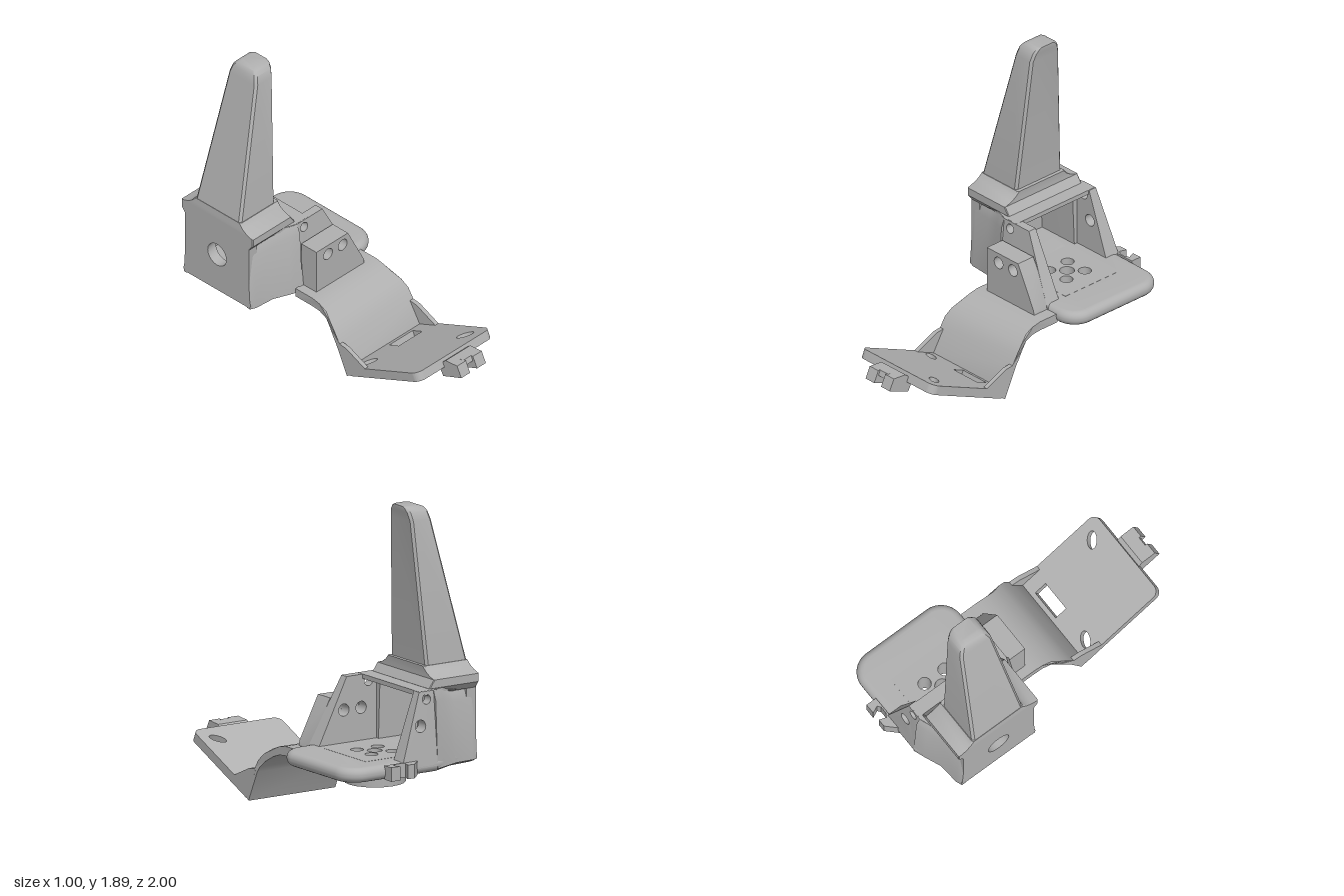
import * as THREE from 'three';
import { toCreasedNormals } from 'three/addons/utils/BufferGeometryUtils.js';

const grey = new THREE.MeshStandardMaterial({ color: 0xb0b0b0 });
grey.name = 'plain grey';
const MID = -0.57; // z of the housing's centre line

function add(parent, name, geo) {
  const mesh = new THREE.Mesh(toCreasedNormals(geo, 0.6), grey);
  mesh.name = name;
  parent.add(mesh);
  return mesh;
}

function shape(points, holes = []) {
  const s = new THREE.Shape(points.map(p => new THREE.Vector2(...p)));
  for (const [x, y, rx, ry = rx, turn = 0] of holes) {
    s.holes.push(new THREE.Path().absellipse(x, y, rx, ry, 0, Math.PI * 2, true, turn));
  }
  return s;
}
const extrude = (s, depth) => new THREE.ExtrudeGeometry(s, { depth, bevelEnabled: false, curveSegments: 10 });
// outline in (x, z), thickness between two heights
const slab = (s, y0, y1) => extrude(s, y1 - y0).rotateX(Math.PI / 2).translate(0, y1, 0);
// outline in (z, y), thickness between two x values
const sideways = (s, x0, x1) => extrude(s, x1 - x0).rotateY(-Math.PI / 2).translate(x1, 0, 0);

// Skin over convex rings of equal size, with closed ends
function loft(rings) {
  const n = rings[0].length, pos = rings.flat(2), idx = [];
  for (let r = 0; r < rings.length - 1; r++) for (let i = 0; i < n; i++) {
    const a = r * n + i, b = r * n + (i + 1) % n;
    idx.push(a, b, b + n, a, b + n, a + n);
  }
  const e = (rings.length - 1) * n;
  for (let i = 1; i < n - 1; i++) idx.push(0, i + 1, i, e, e + i, e + i + 1);
  // turn the faces outward
  const v = i => new THREE.Vector3().fromArray(pos, i * 3);
  let volume = 0;
  for (let i = 0; i < idx.length; i += 3) volume += v(idx[i]).dot(v(idx[i + 1]).cross(v(idx[i + 2])));
  if (volume < 0) idx.reverse();
  const g = new THREE.BufferGeometry();
  g.setAttribute('position', new THREE.Float32BufferAttribute(pos, 3));
  g.setIndex(idx);
  return g;
}

// Horizontal rectangle with cut corners
const ring = ([y, x0, x1, h, c]) => [
  [x0 + c, y, -h], [x1 - c, y, -h], [x1, y, -h + c], [x1, y, h - c],
  [x1 - c, y, h], [x0 + c, y, h], [x0, y, h - c], [x0, y, -h + c]];

function buildHousing() {
  const g = new THREE.Group();
  g.name = 'housing';
  g.position.z = MID;

  // Base plate: round-edged rim and a drilled centre
  const b = 0.043, h = 0.37 - b, end = 0.5 - b, r = 0.1;
  const rim = new THREE.Shape();
  rim.moveTo(-end, -0.24);
  rim.lineTo(-0.3, -0.26);
  rim.lineTo(-0.15, -h);
  rim.lineTo(end - r, -h);
  rim.absarc(end - r, -h + r, r, -Math.PI / 2, 0);
  rim.absarc(end - r, h - r, r, 0, Math.PI / 2);
  rim.lineTo(-0.15, h);
  rim.lineTo(-0.3, 0.26);
  rim.lineTo(-end, 0.24);
  const square = k => [[0.05 - k, -k], [0.05 + k, -k], [0.05 + k, k], [0.05 - k, k]];
  rim.holes.push(new THREE.Path(square(0.17).reverse().map(p => new THREE.Vector2(...p))));
  const rimGeo = new THREE.ExtrudeGeometry(rim, {
    depth: 0.004, bevelSize: b, bevelThickness: b, bevelSegments: 5, curveSegments: 8 });
  add(g, 'basePlateRim', rimGeo.rotateX(Math.PI / 2).translate(0, 0.387, 0));
  const drills = [[0.05, 0, 0.045]];
  for (const x of [-0.025, 0.125]) for (const z of [-0.075, 0.075]) drills.push([x, z, 0.04]);
  add(g, 'basePlateCentre', slab(shape(square(0.22), drills), 0.341, 0.431));

  // Round boss under the plate
  const boss = new THREE.Shape().absarc(0.05, 0, 0.185, 0, Math.PI * 2);
  boss.holes = shape([[0, 0], [1, 0], [1, 1]], drills).holes;
  add(g, 'boss', slab(boss, 0.245, 0.345));

  // Forked tab at the back
  add(g, 'rearTab', slab(shape([[-0.01, -0.36], [0.06, -0.43], [0.11, -0.43], [0.095, -0.385],
    [0.12, -0.37], [0.165, -0.37], [0.185, -0.385], [0.165, -0.43], [0.23, -0.43], [0.23, -0.36]]), 0.342, 0.428));

  // End wall with its round hole
  add(g, 'endWall', sideways(shape([[-0.265, 0.365], [0.265, 0.365], [0.265, 0.82], [-0.265, 0.82]],
    [[0, 0.625, 0.077]]), -0.5, -0.43));
  add(g, 'roof', slab(shape([[-0.49, -0.26], [-0.28, -0.28], [-0.16, -0.32], [-0.05, -0.32],
    [-0.05, 0.32], [-0.16, 0.32], [-0.28, 0.28], [-0.49, 0.26]]), 0.805, 0.833));

  // Flared corners, mirrored
  for (const s of [1, -1]) {
    const section = ([x, out, top]) => [[x, 0.36, s * 0.25], [x, 0.36, s * out],
      [x, top - 0.06, s * (out - 0.022)], [x, top, s * (out - 0.045)], [x, top, s * 0.23]];
    add(g, 'flaredCorner', loft([[-0.5, 0.275, 0.79], [-0.46, 0.29, 0.79], [-0.33, 0.3, 0.79],
      [-0.22, 0.345, 0.825], [-0.15, 0.37, 0.832]].map(section)));
  }

  // Side walls with sloping ends, leaning inward at the top
  const bolts = [[-0.04, 0.63, 0.038], [0.085, 0.63, 0.038]];
  const pin = [-0.095, 0.785, 0.03];
  const wall = (name, profile, holes, s) => {
    const geo = extrude(shape(profile, holes), 0.1).translate(0, 0, s > 0 ? 0.27 : -0.37);
    const p = geo.attributes.position;
    for (let i = 0; i < p.count; i++) {
      if (Math.abs(p.getZ(i)) > 0.32) p.setZ(i, p.getZ(i) - s * 0.045 * Math.max(0, (p.getY(i) - 0.43) / 0.4));
    }
    add(g, name, geo);
  };
  wall('frontWall', [[-0.15, 0.38], [0.29, 0.38], [0.265, 0.43], [0.065, 0.832], [-0.15, 0.832]], [pin, ...bolts], 1);
  wall('backWall', [[-0.15, 0.38], [0.12, 0.38], [0.1, 0.43], [-0.045, 0.832], [-0.15, 0.832]], [pin, bolts[0]], -1);

  // Bolted pad joining the ankle
  add(g, 'boltPad', extrude(shape([[-0.14, 0.36], [0.275, 0.36], [0.265, 0.43], [0.13, 0.695], [-0.14, 0.695]], bolts), 0.125)
    .translate(0, 0, 0.35));
  return g;
}

function buildPost() {
  const g = new THREE.Group();
  g.name = 'post';
  g.position.z = MID;
  add(g, 'postFlange', loft([[0.795, -0.5, -0.2, 0.265, 0.005], [0.835, -0.5, -0.14, 0.297, 0.005],
    [0.885, -0.5, -0.175, 0.297, 0.005], [0.9, -0.5, -0.175, 0.25, 0.005],
    [0.92, -0.498, -0.175, 0.215, 0.005], [0.95, -0.495, -0.172, 0.19, 0.01]].map(ring)));
  add(g, 'postShaft', loft([[0.94, -0.495, -0.195, 0.187, 0.015], [1.82, -0.285, -0.137, 0.115, 0.015],
    [1.87, -0.272, -0.128, 0.1, 0.015], [1.895, -0.255, -0.123, 0.08, 0.015],
    [1.905, -0.23, -0.123, 0.06, 0.015]].map(ring)));
  return g;
}

function buildFoot() {
  const g = new THREE.Group();
  g.name = 'foot';
  g.position.x = 0.075;

  // Curved ankle strip, widening toward the foot plate
  const ankle = sideways(shape([[-0.21, 0.4], [-0.07, 0.4], [-0.01, 0.388], [0.05, 0.365], [0.11, 0.325], [0.155, 0.28],
    [0.19, 0.225], [0.275, 0.085], [0.285, 0.035], [0.255, 0.012], [0.165, 0.205], [0.14, 0.24], [0.1, 0.28],
    [0.05, 0.315], [-0.01, 0.336], [-0.07, 0.342], [-0.21, 0.342]].reverse()), -0.275, 0.275);
  const p = ankle.attributes.position;
  for (let i = 0; i < p.count; i++) {
    p.setX(i, p.getX(i) * (1 + 0.145 * THREE.MathUtils.smoothstep(p.getZ(i), 0.02, 0.16)));
  }
  add(g, 'ankleStrip', ankle);

  // Tilted sole plate with slot and two oval holes
  const w = 0.315, len = 0.63, r = 0.05;
  const s = new THREE.Shape();
  s.moveTo(-w, 0);
  s.lineTo(w, 0);
  s.absarc(w - r, len - r, r, 0, Math.PI / 2);
  s.absarc(-w + r, len - r, r, Math.PI / 2, Math.PI);
  s.holes.push(
    new THREE.Path([[0, 0.045], [0, 0.13], [0.2, 0.13], [0.2, 0.045]].map(q => new THREE.Vector2(...q))),
    new THREE.Path().absellipse(-0.225, 0.1, 0.055, 0.03, 0, Math.PI * 2, true, 0.5),
    new THREE.Path().absellipse(0.205, 0.515, 0.055, 0.03, 0, Math.PI * 2, true, 0.7));
  const sole = add(g, 'solePlate', slab(s, -0.058, 0));
  sole.position.set(0, 0.08, 0.26);
  sole.rotation.x = -Math.atan(0.44);

  // Gussets in the bend
  for (const x of [-0.315, 0.287]) {
    add(g, 'gusset', sideways(shape([[0.18, 0.22], [0.26, 0.04], [0.41, 0.14], [0.25, 0.212]]), x, x + 0.028));
  }

  // Forked clip at the toe
  const prong = [[0.81, 0.28], [0.85, 0.21], [1, 0.272], [0.965, 0.343], [0.87, 0.335]];
  for (const x of [-0.105, 0.03]) add(g, 'toeProng', sideways(shape(prong), x, x + 0.075));
  add(g, 'toeBridge', sideways(shape([[0.81, 0.28], [0.835, 0.25], [0.965, 0.31], [0.95, 0.342], [0.87, 0.335]]), -0.04, 0.04));
  return g;
}

export function createModel() {
  const model = new THREE.Group();
  model.name = 'bracketWithPostAndFoot';
  model.add(buildHousing(), buildPost(), buildFoot());
  return model;
}
